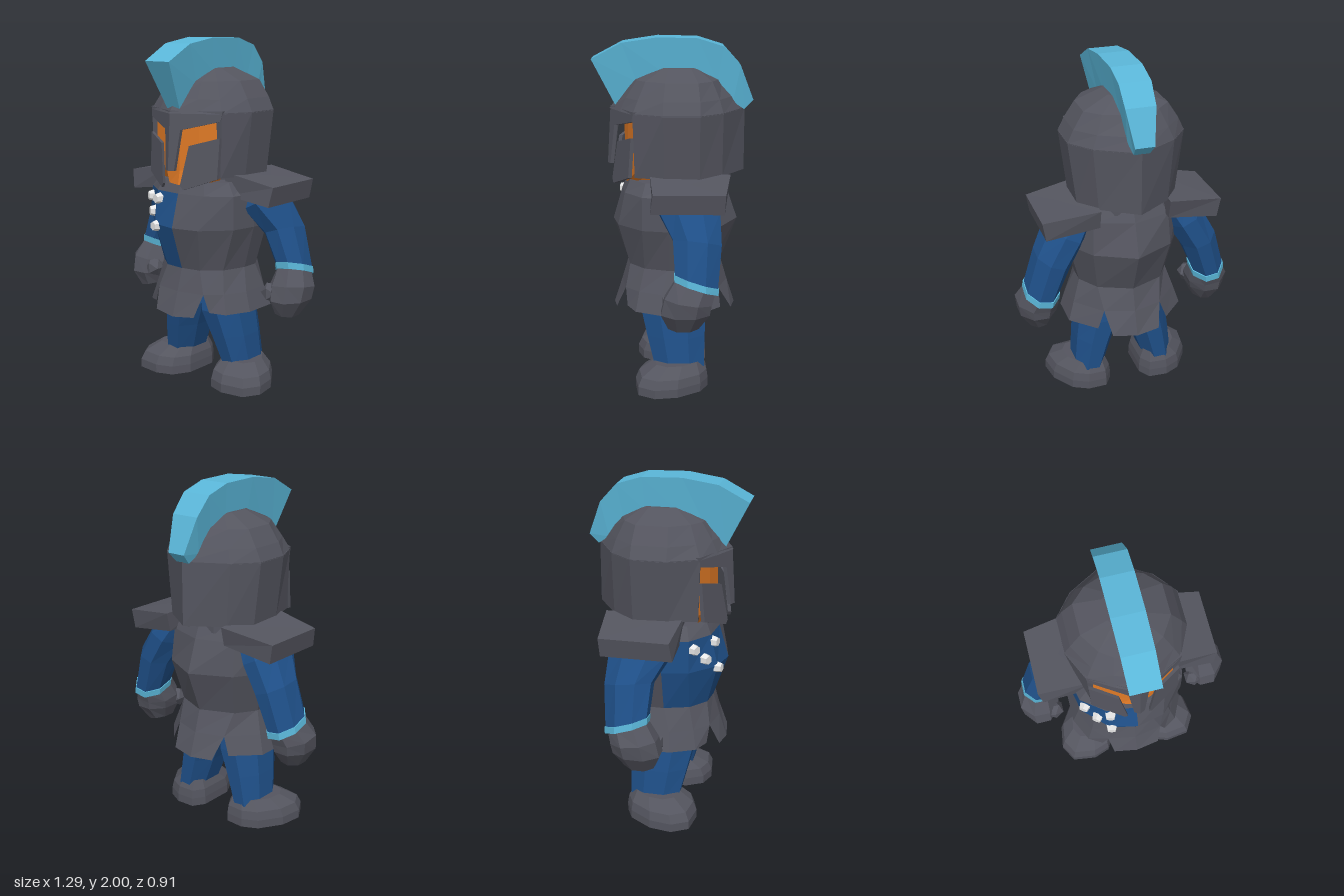
import * as THREE from 'three';

const mat = (name, color, side = THREE.FrontSide) =>
  Object.assign(new THREE.MeshStandardMaterial({ color, flatShading: true, side }), { name });

// Skins a stack of rings (arrays of [x,y,z], front -> left -> back -> right, bottom to top)
function loft(rings, { open = false, caps = !open } = {}) {
  const pos = [], n = rings[0].length;
  const tri = (...p) => p.forEach(v => pos.push(...v));
  for (let j = 0; j < rings.length - 1; j++) {
    const a = rings[j], b = rings[j + 1];
    for (let i = 0; i < (open ? n - 1 : n); i++) {
      const k = (i + 1) % n;
      tri(a[i], a[k], b[k]);
      tri(a[i], b[k], b[i]);
    }
  }
  if (caps) {
    [rings[0], rings[rings.length - 1]].forEach((r, end) => {
      const c = [0, 1, 2].map(d => r.reduce((s, p) => s + p[d], 0) / n);
      r.forEach((p, i) => {
        const q = r[(i + 1) % n];
        end ? tri(p, q, c) : tri(q, p, c);
      });
    });
  }
  const g = new THREE.BufferGeometry();
  g.setAttribute('position', new THREE.Float32BufferAttribute(pos, 3));
  g.computeVertexNormals();
  return g;
}

// Half outline [x,z] from front to back, mirrored into a full ring at height y
function sym(y, half) {
  const r = half.map(([x, z]) => [x, y, z]);
  const other = r.filter(p => p[0] > 0).reverse().map(([x, h, z]) => [-x, h, z]);
  return [...r, ...other];
}

// Eight-sided oval ring, optionally tilted along x and z
function oval(cx, y, cz, rx, rz, sx = 0, sz = 0) {
  return Array.from({ length: 8 }, (_, i) => {
    const a = (i + 0.5) * Math.PI / 4, k = 1.06;
    const dx = Math.sin(a) * rx * k, dz = Math.cos(a) * rz * k;
    return [cx + dx, y + sx * dx + sz * dz, cz + dz];
  });
}

const flip = (rings, s) => s > 0 ? rings
  : rings.map(r => r.map(([x, y, z]) => [-x, y, z]).reverse());

export function createModel() {
  const model = new THREE.Group();
  model.name = 'helmetedFighter';
  const armor = mat('dark grey armor', 0x54555f, THREE.DoubleSide);
  const cloth = mat('blue cloth', 0x1f5089, THREE.DoubleSide);
  const trim = mat('light blue trim', 0x5ab6d8);
  const skin = mat('orange face', 0xe07a26);
  const metal = mat('white metal', 0xe8e8e8);
  const add = (name, geo, material, parent = model) => {
    const m = new THREE.Mesh(geo, material);
    m.name = name;
    parent.add(m);
    return m;
  };

  // Torso: grey shell with a blue right chest quarter
  const waist = [[0, .26], [.12, .245], [.22, .16], [.265, .02], [.265, -.08], [.19, -.2], [0, -.28]];
  const body = [
    sym(.7, waist),
    sym(.95, [[0, .345], [.16, .31], [.3, .17], [.33, .02], [.33, -.1], [.23, -.26], [0, -.375]]),
    sym(1.14, [[0, .29], [.17, .27], [.3, .17], [.33, .02], [.33, -.1], [.22, -.24], [0, -.31]]),
  ];
  add('torso', loft(body.map(r => r.slice(0, 10)), { open: true }), armor);
  add('chestQuarter', loft(body.map(r => [...r.slice(9), r[0]]), { open: true }), cloth);
  add('collar', loft([body[2],
    sym(1.21, [[0, .26], [.15, .24], [.25, .15], [.26, 0], [.26, -.1], [.18, -.22], [0, -.28]])]), armor);
  add('neck', loft([oval(0, 1.18, -.05, .24, .22), oval(0, 1.28, -.05, .24, .22)]), armor);

  // Skirt: a band with four hanging panels
  const mid = sym(.575, [[0, .3], [.165, .27], [.25, .19], [.31, .06], [.31, -.11], [.17, -.265], [0, -.32]]);
  add('skirtBand', loft([mid, sym(.71, waist)]), armor);
  add('skirtFront', loft([[[-.14, .45, .325], [0, .435, .345], [.14, .45, .325]],
    [mid[11], mid[0], mid[1]]], { open: true }), armor);
  add('skirtBack', loft([[[.14, .445, -.34], [0, .435, -.365], [-.14, .445, -.34]],
    [mid[5], mid[6], mid[7]]], { open: true }), armor);

  for (const s of [1, -1]) {
    const side = new THREE.Group();
    side.name = s > 0 ? 'leftSide' : 'rightSide';
    model.add(side);
    const part = (name, rings, material, opt) => add(name, loft(flip(rings, s), opt), material, side);

    part('skirtPanel', [[[.2, .475, .26], [.28, .465, .21], [.345, .465, .07], [.345, .465, -.13], [.21, .47, -.275]],
      mid.slice(1, 6)], armor, { open: true });

    // Leg and boot
    part('leg', [oval(.215, .12, -.04, .092, .145), oval(.175, .3, -.02, .115, .17),
      oval(.135, .45, -.005, .135, .19), oval(.125, .62, -.01, .125, .17)], cloth);
    const sole = [[.25, .215], [.39, .195], [.445, .1], [.425, -.03], [.34, -.16], [.25, -.205],
      [.14, -.2], [.095, -.13], [.095, .08], [.15, .18]];
    part('boot', [[0, 1], [.05, 1], [.1, .93], [.155, .65]].map(([y, k]) =>
      sole.map(([x, z]) => [.18 + (x - .18) * k, y, -.1 + (z + .1) * k])), armor);

    // Arm, cuff and fist
    part('arm', [oval(.51, .71, -.13, .092, .118, .15, .33), oval(.435, .92, -.135, .1, .135, .35, .12),
      oval(.345, 1.07, -.09, .1, .175, .5, .05), oval(.28, 1.15, -.09, .09, .14, .2)], cloth);
    part('cuff', [oval(.51, .69, -.13, .099, .122, .15, .33),
      oval(.504, .727, -.13, .099, .124, .15, .33)], trim);
    part('fist', [oval(.51, .7, -.125, .09, .11, .15, .33), oval(.525, .62, -.085, .12, .13, .1, .15),
      oval(.525, .55, -.07, .108, .135), oval(.51, .465, -.06, .06, .085, -.2)], armor);
    const thumb = add('thumb', new THREE.IcosahedronGeometry(.06, 0), armor, side);
    thumb.position.set(s * .445, .585, .005);

    // Sloping shoulder plate
    part('shoulderPlate', [
      [[.22, 1.13, .12], [.5, 1.095, .12], [.5, 1.095, -.28], [.2, 1.14, -.3]],
      [[.2, 1.265, .13], [.52, 1.205, .105], [.52, 1.205, -.285], [.2, 1.25, -.325]]], armor);

    // Bent mask plates: brow with nose guard, and cheek
    const plates = {
      browAndNose: [[0, 1.61], [.26, 1.61], [.25, 1.555], [.055, 1.505], [.03, 1.28], [0, 1.28]],
      cheek: [[.25, 1.465], [.1, 1.42], [.062, 1.2], [.078, 1.175], [.245, 1.24]],
    };
    for (const [name, pts] of Object.entries(plates)) {
      const shape = new THREE.Shape(pts.map(([x, y]) => new THREE.Vector2(s * x, y)));
      const g = new THREE.ExtrudeGeometry(shape, { depth: .02, bevelEnabled: false });
      const p = g.attributes.position;
      for (let i = 0; i < p.count; i++) {
        p.setZ(i, p.getZ(i) + .335 - .53 * Math.abs(p.getX(i)) + .06 * (1.6 - p.getY(i)));
      }
      g.computeVertexNormals();
      add(name, g, armor, side);
    }
  }

  // Face behind the mask
  const face = [[0, .275], [.12, .25], [.243, .205], [.2, .12], [0, .1]];
  add('face', loft([sym(1.19, [[0, .29], [.09, .26], [.15, .2], [.15, .12], [0, .1]]),
    sym(1.27, face), sym(1.6, face)]), skin);

  // Helmet: rear shell and faceted dome
  add('helmetShell', loft([
    sym(1.24, [[0, .19], [.243, .21], [.29, .05], [.29, -.15], [.2, -.278], [0, -.41]]),
    sym(1.6, [[0, .19], [.255, .22], [.335, .05], [.335, -.15], [.23, -.28], [0, -.41]])]), armor);
  add('helmetDome', loft([
    sym(1.595, [[0, .36], [.13, .295], [.255, .22], [.335, .05], [.335, -.15], [.23, -.28], [0, -.41]]),
    sym(1.67, [[0, .305], [.12, .26], [.22, .19], [.3, .05], [.3, -.15], [.2, -.26], [0, -.365]]),
    sym(1.765, [[0, .225], [.1, .2], [.17, .15], [.24, .04], [.24, -.14], [.16, -.22], [0, -.28]]),
    sym(1.83, [[0, .07], [.04, .065], [.07, .05], [.09, .02], [.09, -.1], [.06, -.13], [0, -.145]])]), armor);

  // Crest: [outer z, outer y, inner z, inner y, outer half width, inner half width], front to back
  const crest = [
    [.455, 1.88, .325, 1.62, .085, .045], [.285, 1.97, .2, 1.75, .088, .06],
    [.085, 2, .06, 1.81, .09, .07], [-.14, 1.995, -.13, 1.81, .09, .07],
    [-.285, 1.95, -.25, 1.75, .09, .065], [-.38, 1.845, -.34, 1.64, .085, .06],
    [-.455, 1.65, -.405, 1.595, .055, .045]];
  add('crest', loft(crest.map(([oz, oy, iz, iy, w, v]) =>
    [[w, oy, oz], [v, iy, iz], [-v, iy, iz], [-w, oy, oz]])), trim);

  // Chest studs
  for (const [x, y, z] of [[-.28, 1.085, .2], [-.15, 1.095, .29], [-.22, 1.01, .255], [-.15, .94, .315]]) {
    const stud = add('chestStud', new THREE.CylinderGeometry(.026, .036, .04, 6).rotateX(Math.PI / 2), metal);
    stud.position.set(x, y, z);
    stud.rotation.y = x < -.2 ? -.6 : -.25;
  }
  return model;
}
